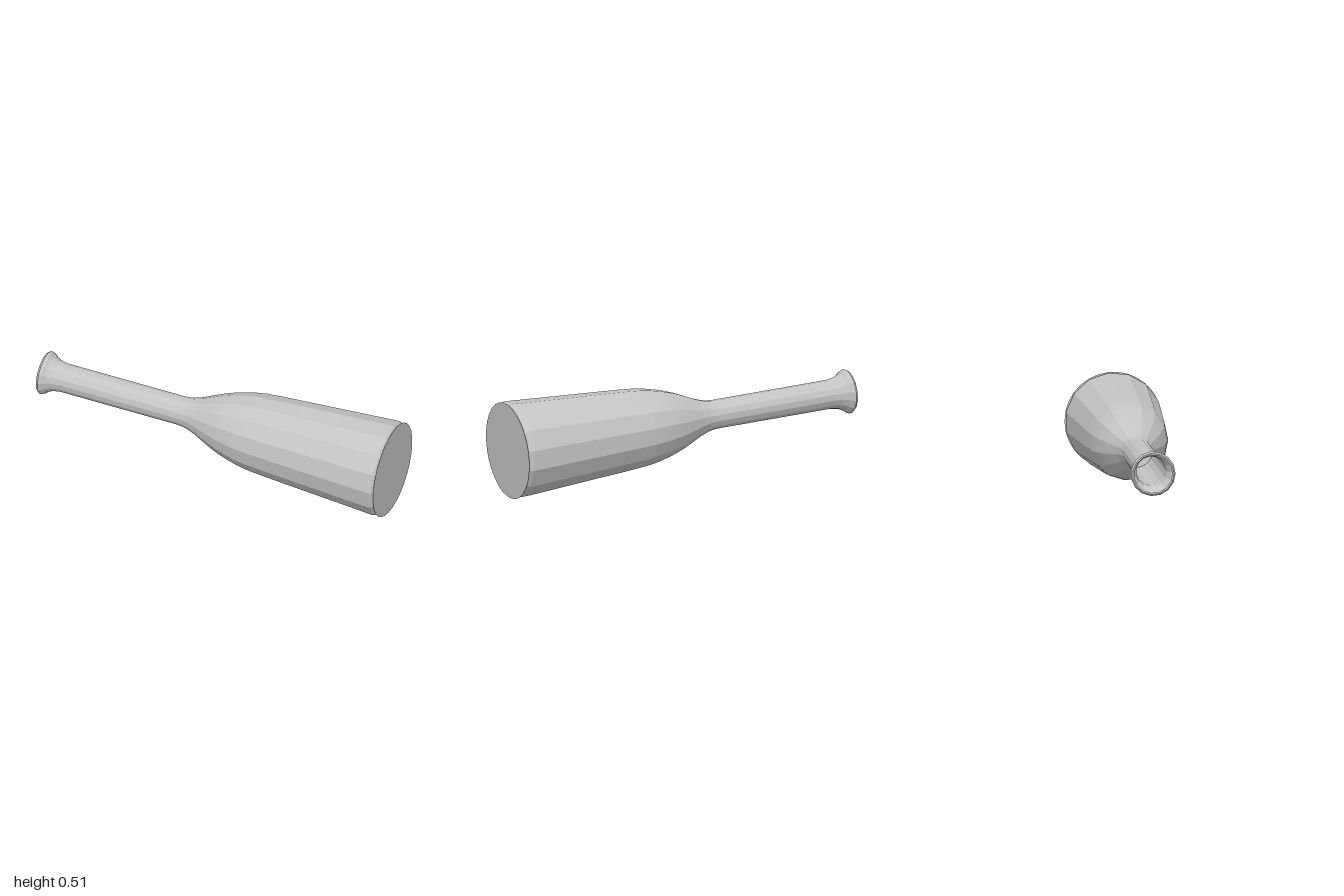
import * as THREE from 'three';

export function createModel() {
  const model = new THREE.Group();
  model.name = 'bottle';

  const grey = new THREE.MeshStandardMaterial({ color: 0xc4c4c4, flatShading: true, side: THREE.DoubleSide });
  grey.name = 'grey';

  // Shell outline from the open mouth to the base: [distance along axis, radius]
  const profile = [
    [-0.996, 0.1], [-0.998, 0.109], [-0.986, 0.118], [-0.972, 0.113], [-0.955, 0.098],
    [-0.925, 0.084], [-0.88, 0.077], [-0.22, 0.077], [-0.19, 0.079], [-0.16, 0.084],
    [-0.11, 0.101], [-0.06, 0.124], [0, 0.15], [0.05, 0.168], [0.1, 0.183], [0.16, 0.197],
    [0.22, 0.207], [0.3, 0.214], [0.45, 0.224], [0.7, 0.24], [0.945, 0.256],
    [0.962, 0.256], [0.973, 0.252], [0.981, 0.243], [0.986, 0.228],
  ].map(([s, r]) => new THREE.Vector2(r, s));

  const shell = new THREE.Mesh(new THREE.LatheGeometry(profile, 15).rotateZ(-Math.PI / 2), grey);
  shell.name = 'bottleShell';

  // Flat base disc closing the wide end
  const base = new THREE.Mesh(new THREE.CircleGeometry(0.256, 30).rotateY(Math.PI / 2), grey);
  base.name = 'baseDisc';
  base.position.x = 0.988;

  // The bottle lies on its side, tipped slightly by its wider base
  const lying = new THREE.Group();
  lying.name = 'lyingBottle';
  lying.add(shell, base);
  lying.rotation.z = -0.043;
  lying.position.y = 0.298;
  model.add(lying);
  return model;
}
